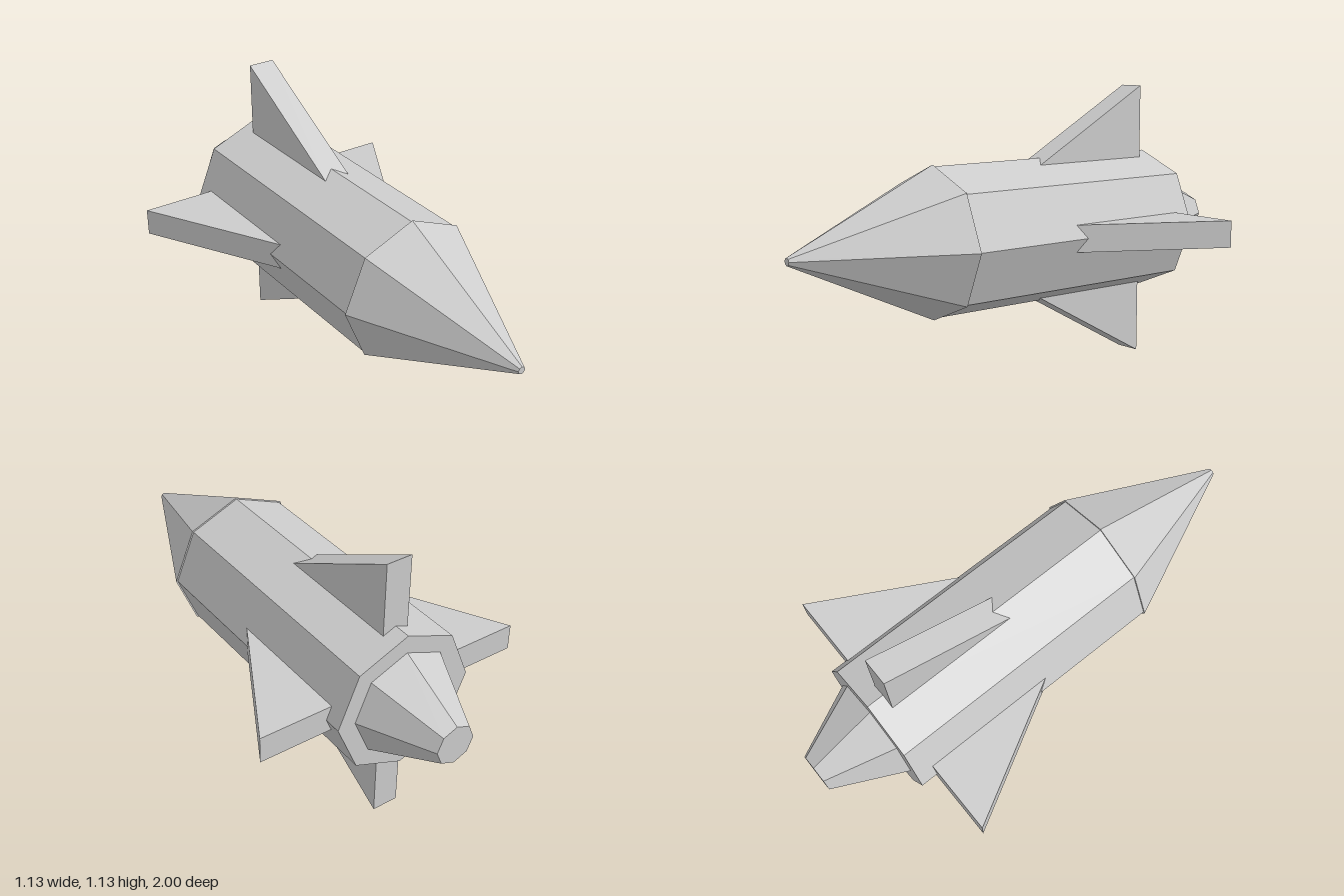
import * as THREE from 'three';

export function createModel() {
  const model = new THREE.Group();
  const grey = new THREE.MeshStandardMaterial({ color: 0xcccccc, flatShading: true });
  grey.name = 'light grey';
  const axisY = 0.565;

  // Eight-sided section lying along z
  function section(name, frontR, backR, frontZ, backZ) {
    const geo = new THREE.CylinderGeometry(frontR, backR, frontZ - backZ, 8);
    geo.rotateX(Math.PI / 2);
    const mesh = new THREE.Mesh(geo, grey);
    mesh.name = name;
    mesh.position.set(0, axisY, (frontZ + backZ) / 2);
    model.add(mesh);
  }
  section('noseCone', 0.015, 0.296, 1, 0.38);
  section('body', 0.289, 0.289, 0.385, -0.72);
  section('tailCone', 0.226, 0.08, -0.7, -1);

  // Triangular fin profile: shape x = -z, shape y = distance from the axis
  const profile = new THREE.Shape();
  profile.moveTo(0.1, 0.265);
  profile.lineTo(0.65, 0.265);
  profile.lineTo(0.65, 0.565);
  profile.closePath();
  const finGeo = new THREE.ExtrudeGeometry(profile, { depth: 0.107, bevelEnabled: false });
  finGeo.translate(0, 0, -0.0535);
  finGeo.rotateY(Math.PI / 2);

  // Four fins around the body
  ['topFin', 'leftFin', 'bottomFin', 'rightFin'].forEach((name, i) => {
    const fin = new THREE.Mesh(finGeo, grey);
    fin.name = name;
    fin.position.y = axisY;
    fin.rotation.z = -i * Math.PI / 2;
    model.add(fin);
  });
  return model;
}
